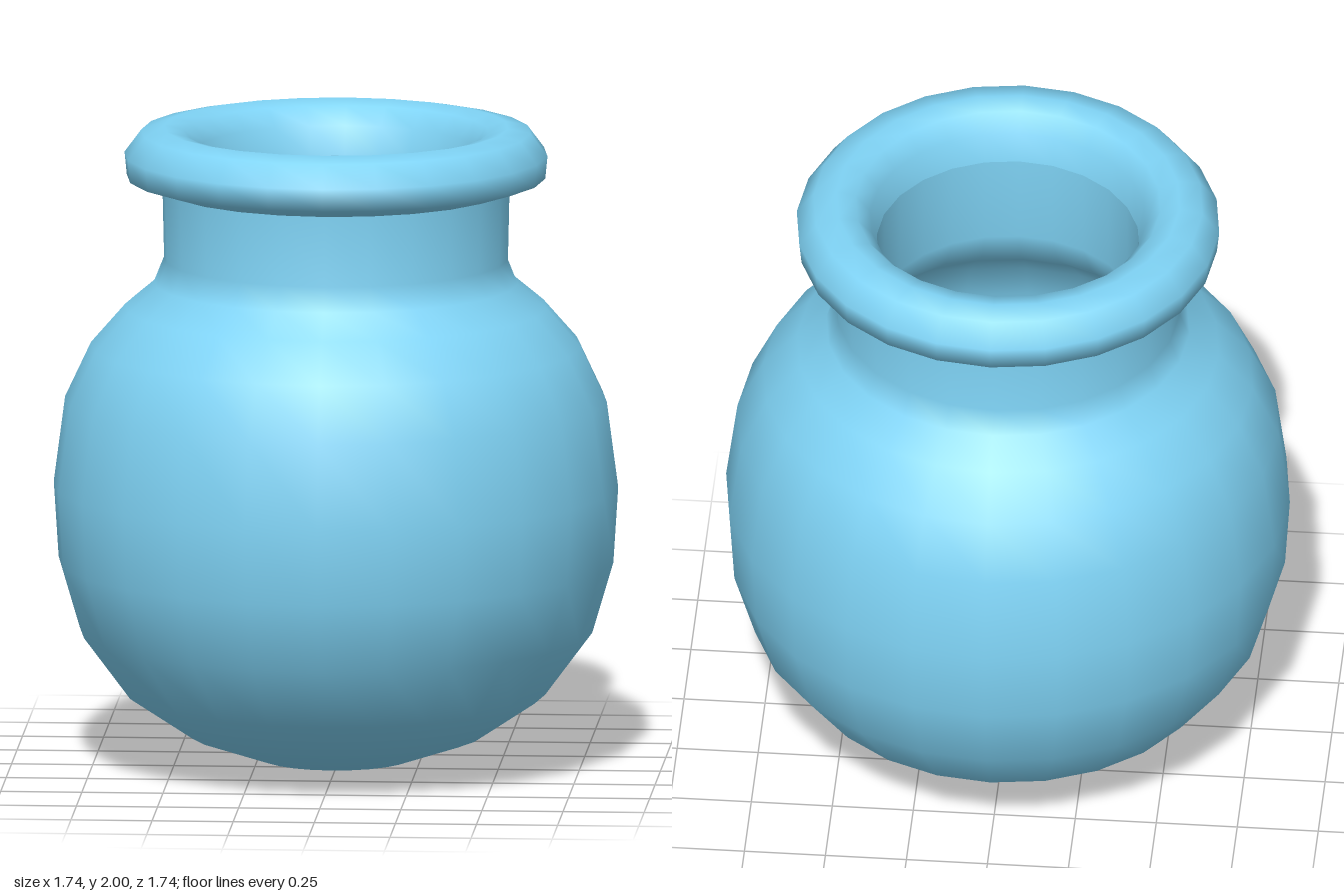
import * as THREE from 'three';

// Smooth lathed surface with 24 sides around y
function lathe(name, points, material) {
  const profile = points.map(([r, y]) => new THREE.Vector2(r, y));
  const mesh = new THREE.Mesh(new THREE.LatheGeometry(profile, 24), material);
  mesh.name = name;
  return mesh;
}

export function createModel() {
  const group = new THREE.Group();
  group.name = 'roundJar';
  const glaze = new THREE.MeshStandardMaterial({ color: 0x7fd3f5, side: THREE.DoubleSide });

  // Round belly flowing into the neck, bottom to top
  group.add(lathe('bodyAndNeck', [
    [0, 0], [0.23, 0.03], [0.45, 0.105], [0.645, 0.235], [0.79, 0.43], [0.855, 0.65],
    [0.87, 0.885], [0.835, 1.15], [0.755, 1.32], [0.65, 1.44], [0.56, 1.515],
    [0.53, 1.59], [0.535, 1.81],
  ], glaze));

  // Rounded lip, from under its overhang over the top and into the throat
  group.add(lathe('lip', [
    [0.535, 1.81], [0.645, 1.845], [0.652, 1.915], [0.6, 1.985], [0.53, 2],
    [0.47, 1.985], [0.425, 1.93], [0.405, 1.84],
  ], glaze));

  // Hollow inside: throat, shoulder and concave floor
  group.add(lathe('innerWall', [
    [0.405, 1.84], [0.405, 1.55], [0.45, 1.44], [0.56, 1.34], [0.66, 1.23], [0.73, 1.08],
    [0.76, 0.885], [0.74, 0.68], [0.68, 0.49], [0.56, 0.32], [0.39, 0.2], [0.2, 0.13], [0, 0.11],
  ], glaze));

  return group;
}
